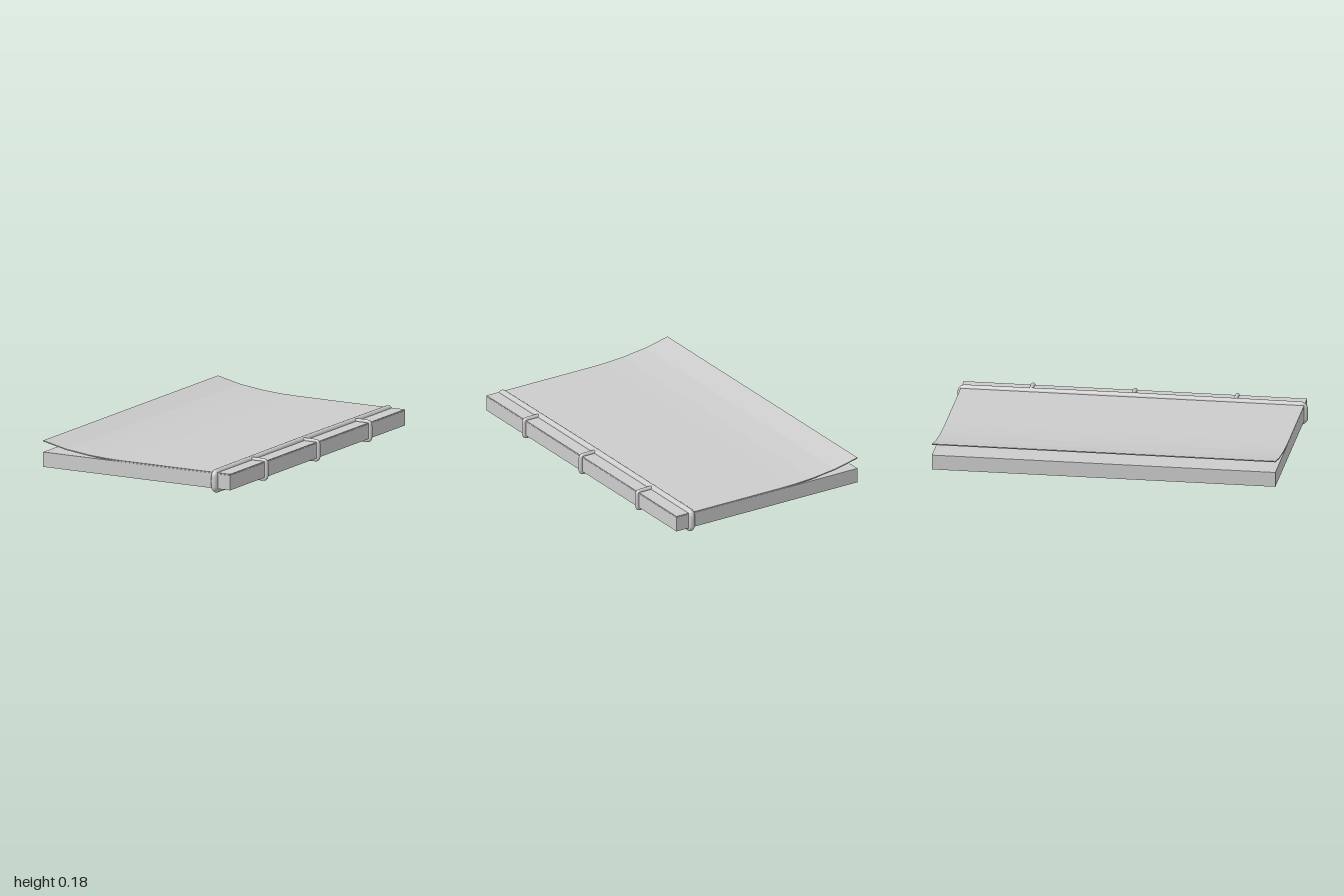
import * as THREE from 'three';

const grey = () => new THREE.MeshStandardMaterial({ color: 0xcccccc });

// Corner points of a rounded rectangle in (u, v), counter-clockwise from lower left
function roundedLoop(u0, u1, v0, v1, r, toVec) {
  const corners = [[u0 + r, v0 + r, 2], [u1 - r, v0 + r, 3], [u1 - r, v1 - r, 0], [u0 + r, v1 - r, 1]];
  const pts = [];
  for (const [cu, cv, q] of corners) {
    for (let i = 0; i <= 6; i++) {
      const a = (q + i / 6) * Math.PI / 2;
      pts.push(toVec(cu + r * Math.cos(a), cv + r * Math.sin(a)));
    }
  }
  return pts;
}

// Closed cord whose rings sit on the points, so the corners stay round
function cord(name, pts, radius) {
  const curve = new THREE.CatmullRomCurve3(pts, true);
  curve.getPointAt = curve.getPoint;
  curve.getTangentAt = curve.getTangent;
  const mesh = new THREE.Mesh(new THREE.TubeGeometry(curve, pts.length * 2, radius, 16, true), grey());
  mesh.name = name;
  return mesh;
}

export function createModel() {
  const group = new THREE.Group();
  group.name = 'boundBook';
  const halfZ = 0.98;

  // Page block
  const pages = new THREE.Mesh(new THREE.BoxGeometry(1.22, 0.086, halfZ * 2), grey());
  pages.name = 'pageBlock';
  pages.position.set(-0.01, 0.07, 0);
  group.add(pages);

  // Top cover, curling up along the open edge
  const top = [[0.6, 0.12], [-0.11, 0.12], [-0.2, 0.122], [-0.32, 0.129], [-0.47, 0.147], [-0.62, 0.18]];
  const t = 0.006;
  const outline = [...top, ...top.map(([x, y]) => [x, y - t]).reverse()];
  const coverGeo = new THREE.ExtrudeGeometry(
    new THREE.Shape(outline.map(([x, y]) => new THREE.Vector2(x, y))),
    { depth: halfZ * 2, bevelEnabled: false });
  coverGeo.translate(0, 0, -halfZ);
  const cover = new THREE.Mesh(coverGeo, grey());
  cover.name = 'curledCover';
  group.add(cover);

  // Long cord running round the book beside the spine
  group.add(cord('longCord',
    roundedLoop(-0.98, 0.98, 0.02, 0.116, 0.022, (z, y) => new THREE.Vector3(0.5, y, z)), 0.02));

  // Short ties wrapping the spine
  for (const z of [-0.583, 0, 0.583]) {
    group.add(cord('spineTie',
      roundedLoop(0.5, 0.605, 0.018, 0.123, 0.016, (x, y) => new THREE.Vector3(x, y, z)), 0.012));
  }
  return group;
}
